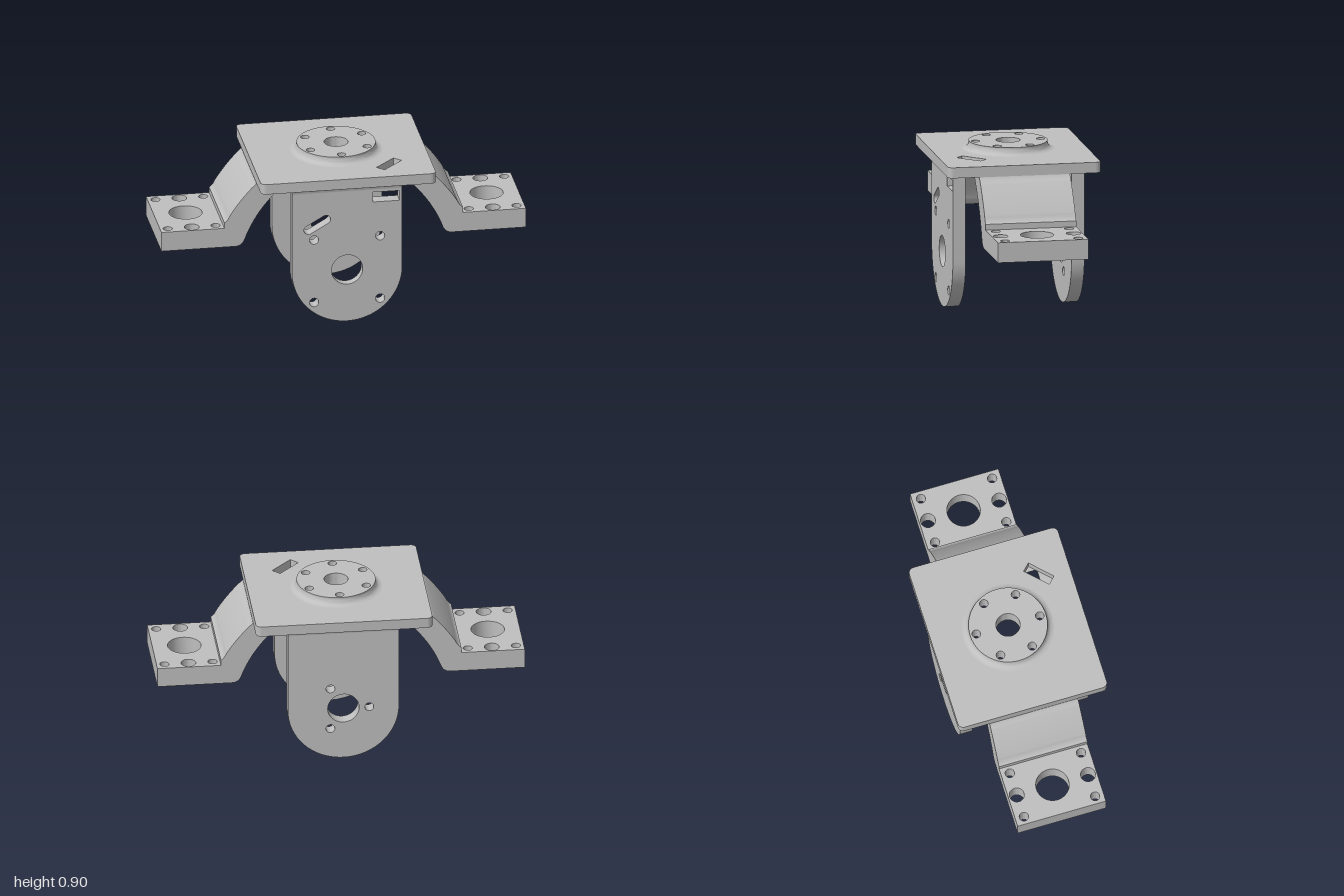
import * as THREE from 'three';
import { toCreasedNormals } from 'three/addons/utils/BufferGeometryUtils.js';

const metal = new THREE.MeshStandardMaterial({ color: 0xbfbfbf });
metal.name = 'grey metal';

const circle = (x, y, r) => new THREE.Path().absarc(x, y, r, 0, Math.PI * 2, true);
const poly = (pts) => new THREE.Path(pts.map(([x, y]) => new THREE.Vector2(x, y)));

function mesh(name, geo) {
  const m = new THREE.Mesh(toCreasedNormals(geo, 0.6), metal);
  m.name = name;
  return m;
}

function extrude(shape, depth, holes = []) {
  shape.holes.push(...holes);
  return new THREE.ExtrudeGeometry(shape, { depth, bevelEnabled: false, curveSegments: 24 });
}

// Horizontal slab: shape y points to -z, thickness goes up from y0
const slab = (shape, y0, h, holes) => extrude(shape, h, holes).rotateX(-Math.PI / 2).translate(0, y0, 0);

function roundedRect(hx, hy, r) {
  const s = new THREE.Shape();
  s.absarc(hx - r, hy - r, r, 0, Math.PI / 2);
  s.absarc(-hx + r, hy - r, r, Math.PI / 2, Math.PI);
  s.absarc(-hx + r, -hy + r, r, Math.PI, Math.PI * 1.5);
  s.absarc(hx - r, -hy + r, r, Math.PI * 1.5, Math.PI * 2);
  return s;
}

// Leg outline: square top, full round bottom
function legShape() {
  const s = new THREE.Shape();
  s.moveTo(0.3, 0.8);
  s.lineTo(-0.3, 0.8);
  s.lineTo(-0.3, 0.3);
  s.absarc(0, 0.3, 0.3, Math.PI, Math.PI * 2);
  return s;
}

// Bore and six bolt holes shared by plate and hub
function hubHoles() {
  const holes = [circle(0, 0, 0.065)];
  for (let i = 0; i < 6; i++) {
    const a = Math.PI / 2 + i * Math.PI / 3;
    holes.push(circle(0.178 * Math.cos(a), 0.178 * Math.sin(a), 0.023));
  }
  return holes;
}

// Four bolt holes, slanted slot and window of the front leg
function frontLegHoles(bore) {
  const holes = [circle(0, 0.3, bore)];
  for (const x of [-0.18, 0.18]) for (const y of [0.12, 0.485]) holes.push(circle(x, y, 0.025));
  holes.push(poly([[0.14, 0.685], [0.14, 0.742], [0.285, 0.742], [0.285, 0.685]]));
  const a = Math.atan2(0.055, 0.095), slot = new THREE.Path();
  slot.absarc(-0.115, 0.6, 0.025, a + Math.PI / 2, a - Math.PI / 2, true);
  slot.absarc(-0.21, 0.545, 0.025, a - Math.PI / 2, a - Math.PI * 1.5, true);
  slot.closePath();
  holes.push(slot);
  return holes;
}

// Concave strip between a leg face and the plate, side = direction in z
function legFillet(z, side) {
  const r = 0.04, s = new THREE.Shape();
  s.moveTo(-0.005, 0.8);
  s.lineTo(-0.005, 0.795 - r);
  s.lineTo(0, 0.795 - r);
  s.absarc(r, 0.795 - r, r, Math.PI, Math.PI / 2, true);
  s.lineTo(r, 0.8);
  const geo = extrude(s, 0.6).translate(0, 0, -0.3);
  geo.rotateY(side > 0 ? -Math.PI / 2 : Math.PI / 2);
  return mesh('legFillet', geo.translate(0, 0, z));
}

// Curved arm with a drilled pad, running towards +x
function makeArm(name) {
  const arm = new THREE.Group();
  arm.name = name;
  const w = 0.248;

  const s = new THREE.Shape();
  s.moveTo(0.65, 0.43);
  s.lineTo(0.65, 0.572);
  s.quadraticCurveTo(0.633, 0.58, 0.62, 0.61);
  s.quadraticCurveTo(0.57, 0.69, 0.5, 0.765);
  s.quadraticCurveTo(0.475, 0.785, 0.47, 0.8);
  s.lineTo(0.29, 0.8);
  s.quadraticCurveTo(0.46, 0.67, 0.535, 0.48);
  s.quadraticCurveTo(0.55, 0.43, 0.59, 0.43);
  arm.add(mesh('armCurve', extrude(s, 2 * w).translate(0, 0, -w)));

  const holes = [circle(0.82, 0, 0.09)];
  for (const z of [-0.2, 0.2])
    for (const [x, r] of [[0.69, 0.025], [0.82, 0.04], [0.95, 0.025]]) holes.push(circle(x, z, r));
  const pad = new THREE.Shape();
  pad.moveTo(0.65, -w);
  pad.lineTo(0.993, -w);
  pad.lineTo(0.993, w);
  pad.lineTo(0.65, w);
  arm.add(mesh('armPad', slab(pad, 0.43, 0.11, holes)));
  return arm;
}

export function createModel() {
  const model = new THREE.Group();
  model.name = 'bracket';
  const body = new THREE.Group();
  body.name = 'body';
  body.rotation.y = -0.03;
  model.add(body);

  // Top plate with a diagonal slot
  const c = [0.247, -0.248], k = Math.SQRT1_2;
  const slot = poly([[-1, -1], [-1, 1], [1, 1], [1, -1]].map(([u, v]) => {
    const a = u * 0.078, b = v * 0.027;
    return [c[0] + (a - b) * k, c[1] + (a + b) * k];
  }));
  body.add(mesh('topPlate', slab(roundedRect(0.477, 0.418, 0.03), 0.795, 0.058, [...hubHoles(), slot])));

  // Round hub and its flared foot
  const disc = new THREE.Shape().absarc(0, 0, 0.213, 0, Math.PI * 2);
  body.add(mesh('hub', slab(disc, 0.853, 0.043, hubHoles())));
  const flare = [];
  for (let i = 0; i <= 6; i++) {
    const a = (i / 6) * Math.PI / 2;
    flare.push(new THREE.Vector2(0.248 - 0.035 * Math.sin(a), 0.888 - 0.035 * Math.cos(a)));
  }
  body.add(mesh('hubFlare', new THREE.LatheGeometry(flare, 64)));

  // Front leg, with a wider recess around the bore on the inside
  body.add(mesh('frontLeg', extrude(legShape(), 0.05, frontLegHoles(0.085)).translate(0, 0, 0.31)));
  body.add(mesh('frontLegInner', extrude(legShape(), 0.02, frontLegHoles(0.125)).translate(0, 0, 0.29)));

  // Back leg with three bolt holes
  const backHoles = [circle(0, 0.3, 0.085)];
  for (let i = 0; i < 3; i++) {
    const a = Math.PI + i * Math.PI * 2 / 3;
    backHoles.push(circle(0.14 * Math.cos(a), 0.3 + 0.14 * Math.sin(a), 0.024));
  }
  body.add(mesh('backLeg', extrude(legShape(), 0.07, backHoles).translate(0, 0, -0.36)));

  for (const z of [0.36, -0.29]) body.add(legFillet(z, 1), legFillet(z - 0.07, -1));

  // Side arms
  const right = makeArm('rightArm');
  right.rotation.y = Math.PI;
  body.add(makeArm('leftArm'), right);
  return model;
}
